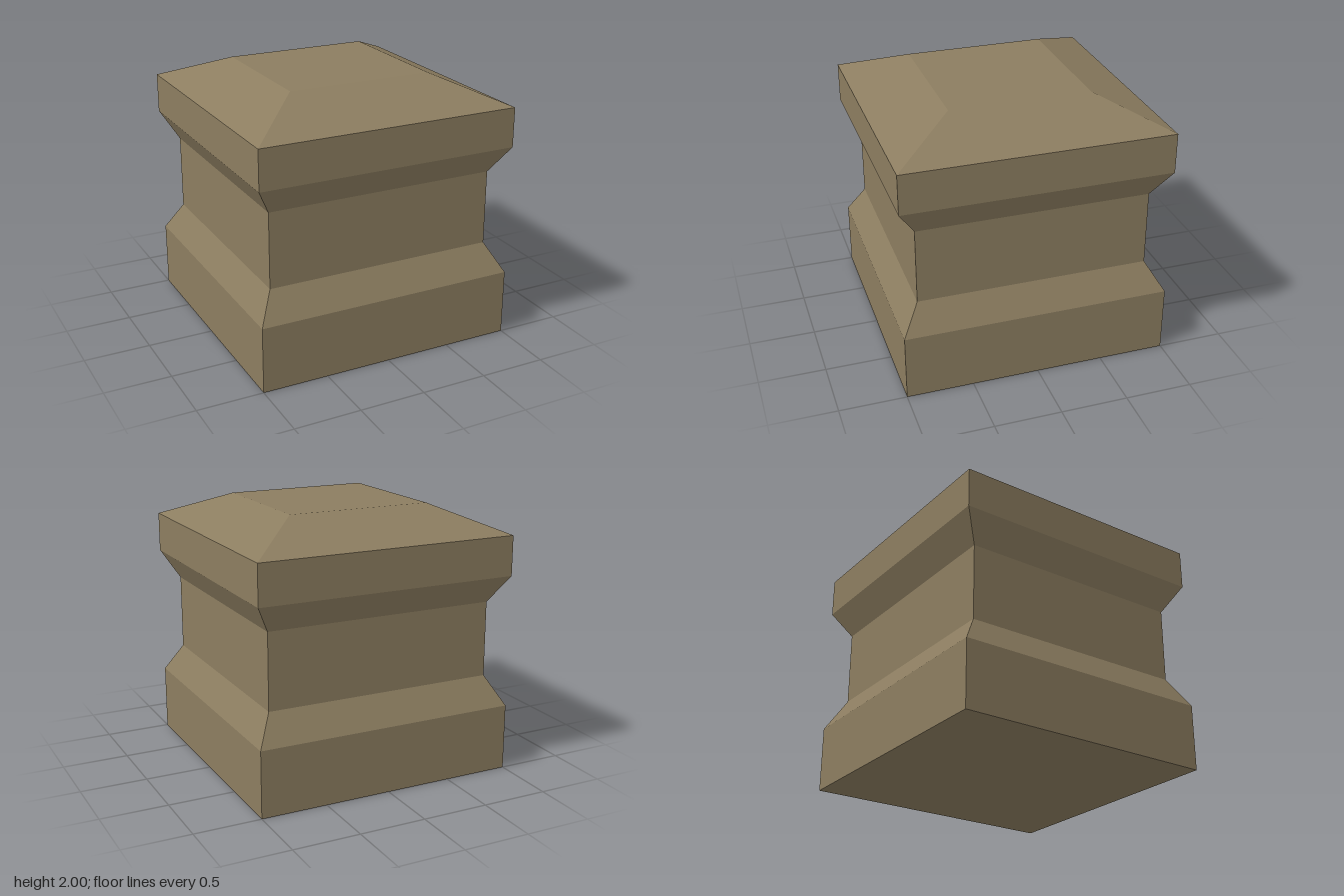
import * as THREE from 'three';

// Rectangular cross-sections: [half width x, height y, half depth z]
const BASE_BOTTOM = [1, 0, 1];
const BASE_TOP = [1, 0.5, 1];
const WAIST_BOTTOM = [0.88, 0.72, 0.87];
const WAIST_TOP = [0.88, 1.29, 0.87];
const CAP_BOTTOM = [1, 1.5, 1];
const CAP_TOP = [1, 1.8, 1];
const CROWN = [0.55, 2, 0.525];

// Corners run counter-clockwise as seen from above, starting at front -x
const corners = ([x, y, z]) => [[-x, y, z], [x, y, z], [x, y, -z], [-x, y, -z]];

// Joins successive cross-sections with flat sides and optionally closes the ends
function loft(sections, { closeBottom = false, closeTop = false } = {}) {
  const positions = [];
  const quad = (a, b, c, d) => positions.push(...a, ...b, ...c, ...a, ...c, ...d);
  const rings = sections.map(corners);
  for (let s = 0; s < rings.length - 1; s++) {
    const low = rings[s], high = rings[s + 1];
    for (let i = 0; i < 4; i++) {
      const j = (i + 1) % 4;
      quad(low[i], low[j], high[j], high[i]);
    }
  }
  if (closeBottom) quad(...rings[0].slice().reverse());
  if (closeTop) quad(...rings[rings.length - 1]);
  const geometry = new THREE.BufferGeometry();
  geometry.setAttribute('position', new THREE.Float32BufferAttribute(positions, 3));
  geometry.computeVertexNormals();
  return geometry;
}

export function createModel() {
  const model = new THREE.Group();
  model.name = 'pedestal';
  const stone = new THREE.MeshStandardMaterial({ color: 0x8c7d60 });
  stone.name = 'brown stone';

  const add = (name, sections, ends) => {
    const mesh = new THREE.Mesh(loft(sections, ends), stone);
    mesh.name = name;
    model.add(mesh);
  };

  add('base', [BASE_BOTTOM, BASE_TOP], { closeBottom: true });
  add('lowerBevel', [BASE_TOP, WAIST_BOTTOM]);
  add('waist', [WAIST_BOTTOM, WAIST_TOP]);
  add('upperBevel', [WAIST_TOP, CAP_BOTTOM]);
  add('capBand', [CAP_BOTTOM, CAP_TOP]);
  add('slopedCrown', [CAP_TOP, CROWN], { closeTop: true });

  return model;
}
